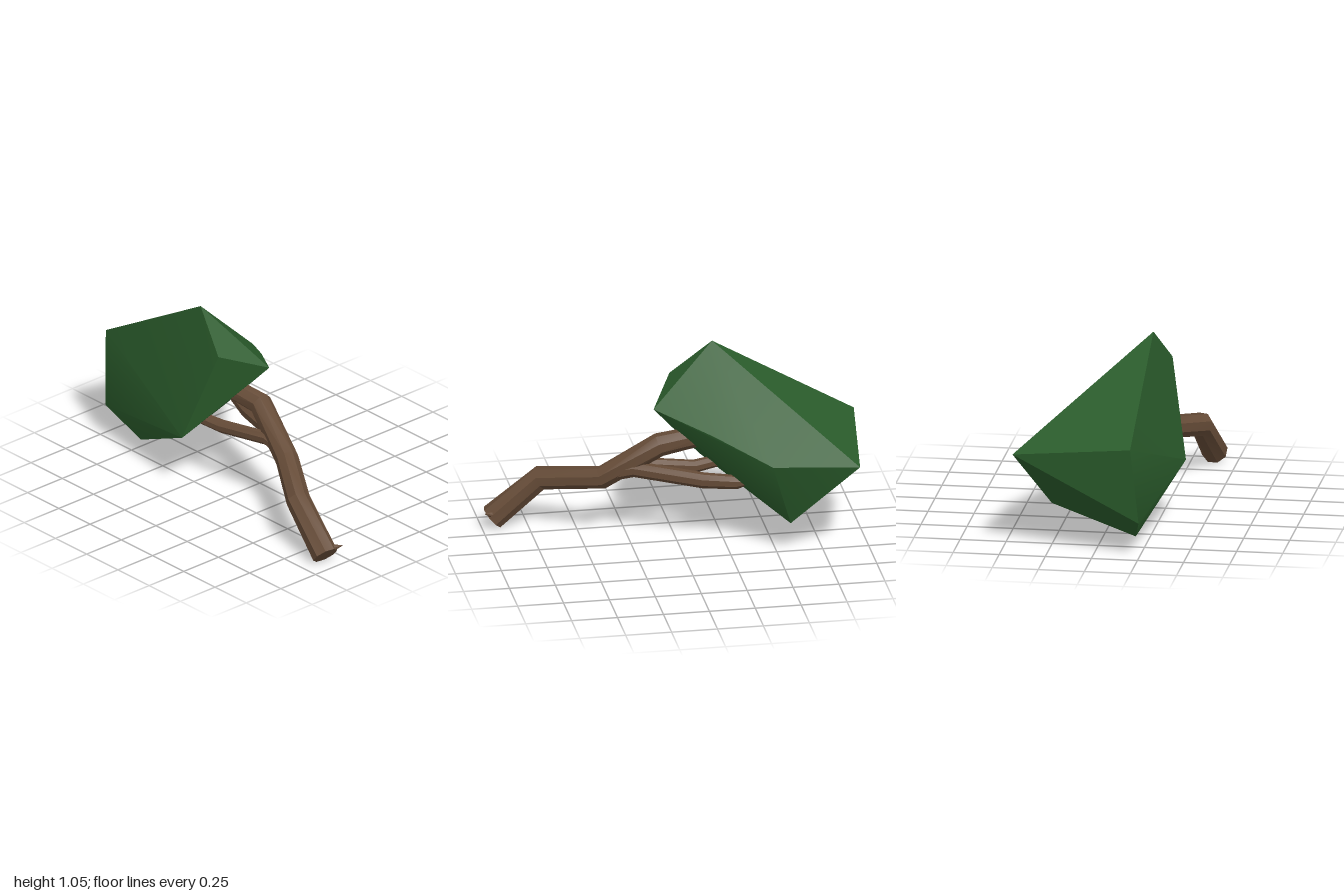
import * as THREE from 'three';
import { ConvexGeometry } from 'three/addons/geometries/ConvexGeometry.js';
import { toCreasedNormals } from 'three/addons/utils/BufferGeometryUtils.js';

const v = (p) => new THREE.Vector3(...p);
const SIDES = 8;

// Faceted limb: one ring of SIDES points at each bend, with capped ends
function limb(name, path, radii, material) {
  const pts = path.map(v);
  const pos = [], idx = [];
  pts.forEach((p, i) => {
    const before = pts[Math.max(i - 1, 0)], after = pts[Math.min(i + 1, pts.length - 1)];
    const dirIn = p.clone().sub(before).normalize(), dirOut = after.clone().sub(p).normalize();
    const dir = dirIn.add(dirOut).normalize();
    const side = new THREE.Vector3().crossVectors(dir, new THREE.Vector3(0, 1, 0)).normalize();
    const up = new THREE.Vector3().crossVectors(side, dir);
    for (let k = 0; k < SIDES; k++) {
      const a = ((k + 0.5) / SIDES) * Math.PI * 2;
      const q = p.clone().addScaledVector(side, Math.cos(a) * radii[i]).addScaledVector(up, Math.sin(a) * radii[i]);
      pos.push(q.x, q.y, q.z);
    }
  });
  // Rings run clockwise about the path, so the walls turn the other way to face outward
  for (let i = 0; i < pts.length - 1; i++) {
    for (let k = 0; k < SIDES; k++) {
      const a = i * SIDES + k, b = i * SIDES + (k + 1) % SIDES;
      idx.push(a, b + SIDES, b, a, a + SIDES, b + SIDES);
    }
  }
  const last = (pts.length - 1) * SIDES;
  for (let k = 1; k < SIDES - 1; k++) {
    idx.push(0, k, k + 1, last, last + k + 1, last + k);
  }
  const indexed = new THREE.BufferGeometry();
  indexed.setAttribute('position', new THREE.Float32BufferAttribute(pos, 3));
  indexed.setIndex(idx);
  const mesh = new THREE.Mesh(toCreasedNormals(indexed, 0.6), material);
  mesh.name = name;
  return mesh;
}

export function createModel() {
  const group = new THREE.Group();
  group.name = 'leafyBranch';
  const bark = new THREE.MeshStandardMaterial({ color: 0x654b37 });
  const leaf = new THREE.MeshStandardMaterial({ color: 0x2a5b2b });

  // Angular block of foliage
  const corners = [
    [-0.23, 1.06, 0.22], [-0.01, 0.86, 0.29], [0.12, 0.76, 0.04], [-0.19, 0.34, 0.39],
    [-0.73, 0.06, 0.20], [-0.96, 0.20, 0.25], [-1.0, 0.62, 0.21], [-0.92, 0.545, -0.44],
    [-0.46, 0.545, -0.365], [-0.57, 0.18, -0.28], [-0.17, 0.665, -0.165],
  ];
  const foliage = new THREE.Mesh(toCreasedNormals(new ConvexGeometry(corners.map(v)), 0.65), leaf);
  foliage.name = 'foliage';
  group.add(foliage);

  // Main branch, from the cut end into the foliage
  group.add(limb('mainBranch', [
    [0.94, 0.056, 0.375], [0.685, 0.28, 0.34], [0.38, 0.342, 0.145],
    [0.085, 0.54, 0.07], [-0.2, 0.575, 0.1],
  ], [0.071, 0.066, 0.063, 0.064, 0.055], bark));

  // Two thinner side branches
  group.add(limb('backTwig', [
    [0.33, 0.375, 0.12], [0.22, 0.405, 0.08], [-0.14, 0.365, -0.05], [-0.31, 0.37, -0.115], [-0.35, 0.372, -0.13],
  ], [0.044, 0.044, 0.043, 0.038, 0.02], bark));
  group.add(limb('frontTwig', [
    [0.33, 0.37, 0.13], [0.22, 0.41, 0.145], [-0.12, 0.36, 0.165], [-0.28, 0.375, 0.2],
  ], [0.04, 0.037, 0.036, 0.032], bark));

  // Small splinter left at the cut end
  group.add(limb('splinter', [[0.88, 0.1, 0.35], [0.945, 0.085, 0.335], [0.992, 0.11, 0.297]],
    [0.02, 0.022, 0.002], bark));

  return group;
}
